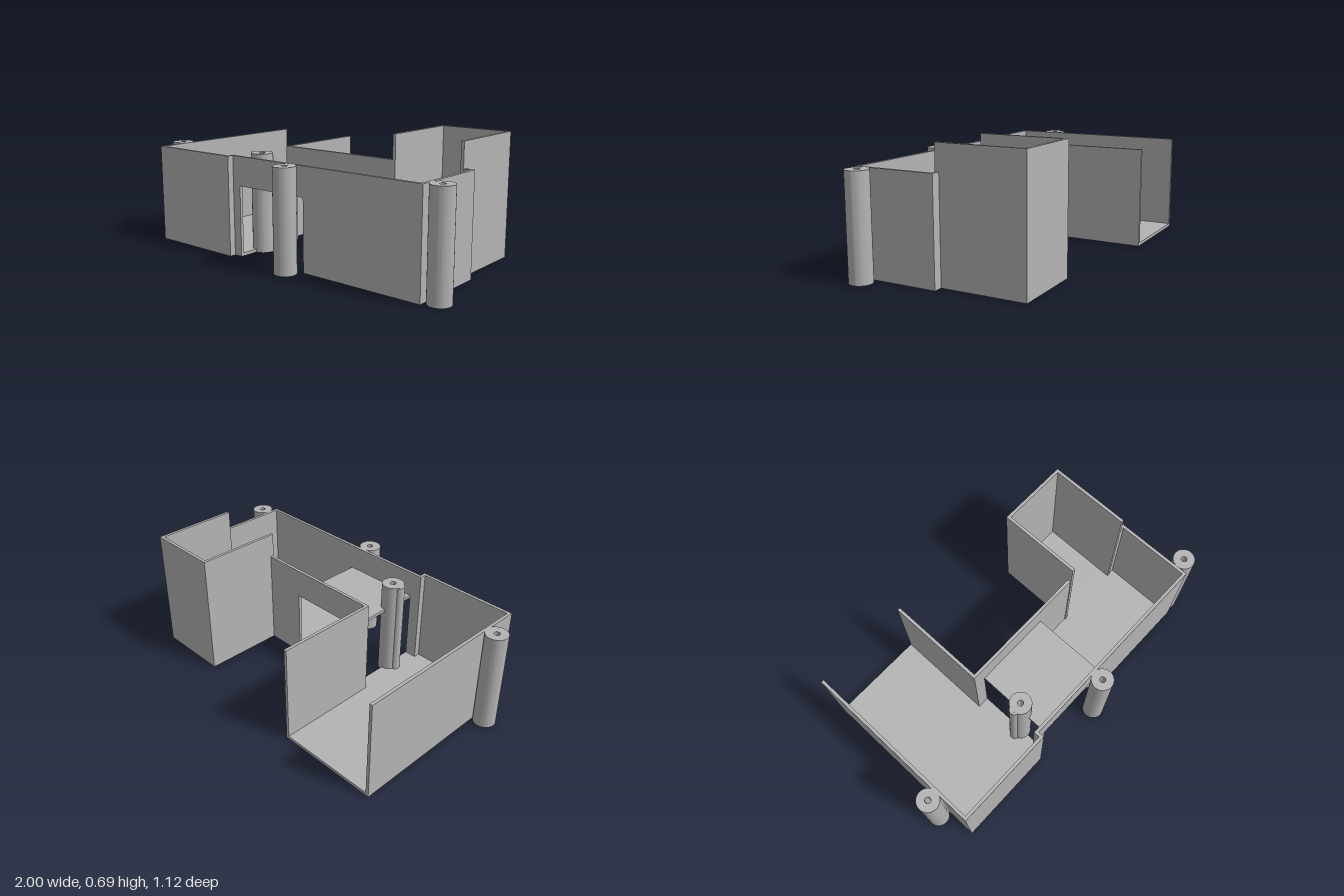
import * as THREE from 'three';
import { toCreasedNormals } from 'three/addons/utils/BufferGeometryUtils.js';

const T = 0.017;      // wall and floor thickness
const H = 0.55;       // main wall height
const TALL = 0.685;   // back bay height
const DOOR = 0.39;    // passage height

export function createModel() {
  const model = new THREE.Group();
  model.name = 'floorPlanShell';
  const grey = new THREE.MeshStandardMaterial({ color: 0xb4b4b4 });
  grey.name = 'plain grey';

  // Box given by its extents
  function box(name, x0, x1, y0, y1, z0, z1) {
    const mesh = new THREE.Mesh(new THREE.BoxGeometry(x1 - x0, y1 - y0, z1 - z0), grey);
    mesh.position.set((x0 + x1) / 2, (y0 + y1) / 2, (z0 + z1) / 2);
    mesh.name = name;
    model.add(mesh);
  }
  const wall = (name, x0, x1, z0, z1, top = H) => box(name, x0, x1, T, top, z0, z1);

  // Floors, left open under the passage
  box('longRoomFloor', -0.887, -0.32, 0, T, -0.563, 0.475);
  box('passageSill', -0.32, -0.27, 0, T, -0.01, 0.44);
  box('sideRoomFloor', 0.18, 0.88, 0, T, -0.01, 0.44);
  box('backBayFloor', 0.415, 0.83, 0, T, -0.465, -0.01);

  // Long room, open at the back
  wall('longRoomOuterWall', -0.887, -0.887 + T, -0.563, 0.475);
  wall('longRoomFrontWall', -0.887 + T, -0.32 - T, 0.475 - T, 0.475);
  wall('longRoomFrontReturn', -0.32 - T, -0.32, 0.44 - T, 0.475);
  wall('longRoomInnerWall', -0.32 - T, -0.32, -0.563, -0.01 + T);

  // Front and back walls on both sides of the passage, with lintels above it
  wall('frontWallJamb', -0.32, -0.27, 0.44 - T, 0.44);
  wall('frontWall', 0.18, 0.88, 0.44 - T, 0.44);
  wall('backWallJamb', -0.32, -0.27, -0.01, -0.01 + T);
  wall('backWall', 0.18, 0.415, -0.01, -0.01 + T);
  wall('backWallCorner', 0.83, 0.88, -0.01, -0.01 + T);
  wall('sideRoomEndWall', 0.88 - T, 0.88, -0.01 + T, 0.44 - T);
  box('frontLintel', -0.27, 0.18, DOOR, H, 0.44 - T, 0.44);
  box('backLintel', -0.27, 0.18, DOOR, H, -0.01, -0.01 + T);
  box('passageCeiling', -0.27, 0.18, DOOR, DOOR + T, -0.01 + T, 0.44 - T);

  // Taller back bay, open towards the side room
  wall('backBayInnerWall', 0.415, 0.415 + T, -0.465, 0.012, TALL);
  wall('backBayOuterWall', 0.83 - T, 0.83, -0.465, 0.012, TALL);
  wall('backBayEndWall', 0.415 + T, 0.83 - T, -0.465, -0.465 + T, TALL);

  // Columns with a blind hole in the top
  const ring = new THREE.Shape().absarc(0, 0, 0.06, 0, Math.PI * 2, false);
  ring.holes.push(new THREE.Path().absarc(0, 0, 0.016, 0, Math.PI * 2, true));
  const columnGeometry = toCreasedNormals(
    new THREE.ExtrudeGeometry(ring, { depth: H, bevelEnabled: false, curveSegments: 24 }).rotateX(-Math.PI / 2), 0.6);
  const plugGeometry = new THREE.CylinderGeometry(0.016, 0.016, 0.35, 24).translate(0, 0.175, 0);
  const columns = [['outerColumn', -0.94, 0.27], ['innerColumn', -0.27, 0.27],
    ['frontColumn', 0.11, 0.497], ['endColumn', 0.94, 0.375]];
  for (const [name, x, z] of columns) {
    const column = new THREE.Group();
    column.name = name;
    column.position.set(x, 0, z);
    const shaft = new THREE.Mesh(columnGeometry, grey);
    shaft.name = 'columnShaft';
    const plug = new THREE.Mesh(plugGeometry, grey);
    plug.name = 'columnPlug';
    column.add(shaft, plug);
    model.add(column);
  }

  // Slim rib on the side of the inner column
  const rib = new THREE.Mesh(new THREE.CylinderGeometry(0.028, 0.028, H - 0.002, 24), grey);
  rib.name = 'columnRib';
  rib.position.set(-0.317, H / 2, 0.27);
  model.add(rib);

  return model;
}
